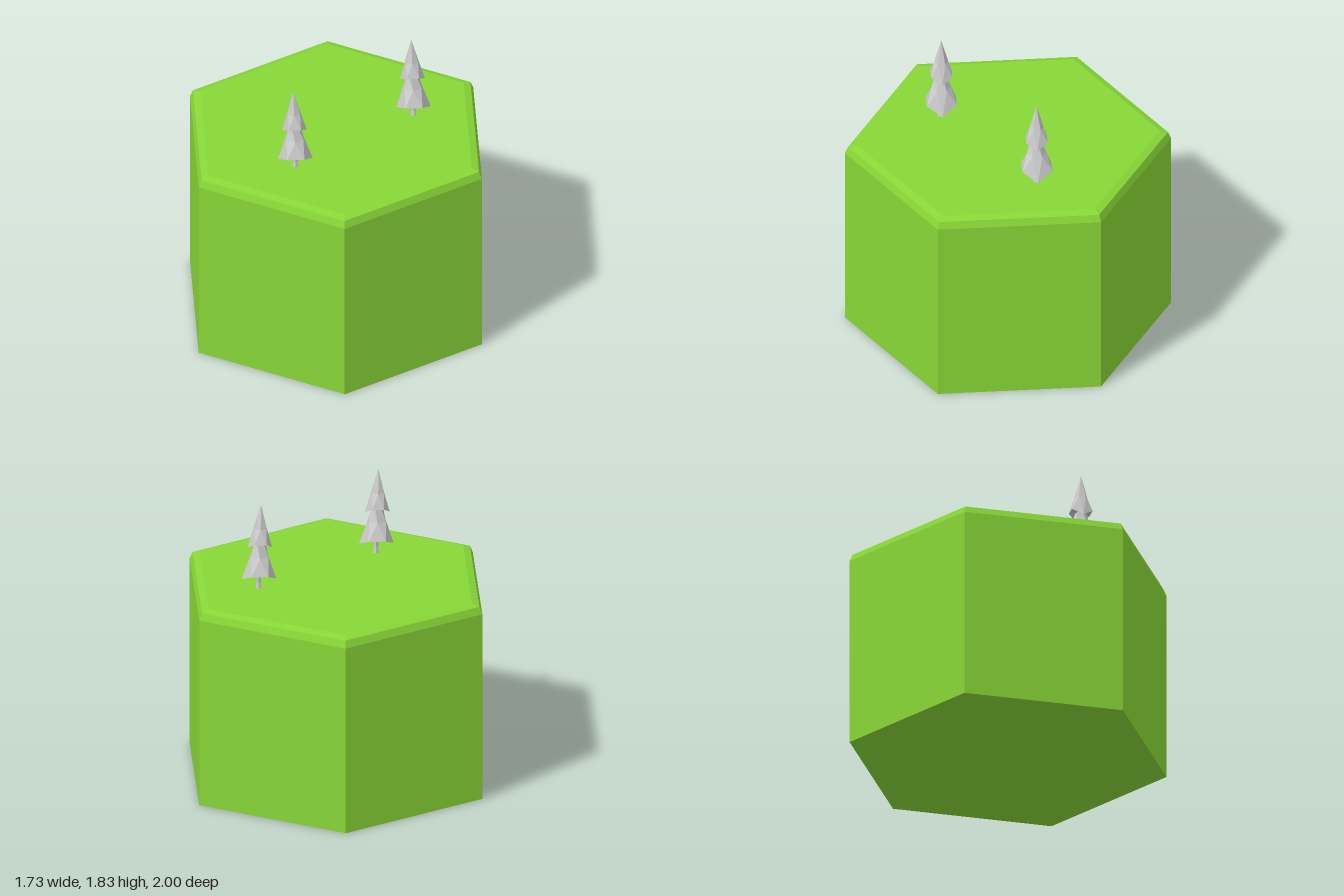
import * as THREE from 'three';

const green = new THREE.MeshStandardMaterial({ color: 0x88d636, flatShading: true });
const grey = new THREE.MeshStandardMaterial({ color: 0xcccccc, flatShading: true });

function part(name, geometry, material) {
  const mesh = new THREE.Mesh(geometry, material);
  mesh.name = name;
  return mesh;
}

// Six-sided lathe from [radius, y] pairs
function hexLathe(profile, start = 0) {
  return new THREE.LatheGeometry(profile.map(([r, y]) => new THREE.Vector2(r, y)), 6, start);
}

// Faceted foliage tier: hem ring droops towards +x and -x, one ring is twisted half a step
function foliageTier(profile, hem, twisted, droop) {
  const geometry = hexLathe(profile, Math.PI / 2);
  const pos = geometry.attributes.position;
  const v = new THREE.Vector3();
  const up = new THREE.Vector3(0, 1, 0);
  for (let i = 0; i < pos.count; i++) {
    const ring = i % profile.length;
    v.fromBufferAttribute(pos, i);
    if (ring === hem) {
      const c = Math.abs(v.x) / Math.hypot(v.x, v.z);
      v.y -= droop * Math.max(0, c - 0.5) * 2;
    }
    if (ring === twisted) v.applyAxisAngle(up, Math.PI / 6);
    v.x -= 0.027 * v.y; // slight lean
    pos.setXYZ(i, v.x, v.y, v.z);
  }
  return geometry;
}

function makeTree() {
  const tree = new THREE.Group();
  tree.name = 'tree';
  const trunk = hexLathe([[0.023, -0.01], [0.015, 0.04], [0.018, 0.14]]);
  const lower = foliageTier([[0, 0.1], [0.045, 0.1], [0.106, 0.105], [0.06, 0.21], [0.03, 0.32], [0, 0.33]], 2, 3, 0.048);
  const upper = foliageTier([[0, 0.3], [0.03, 0.3], [0.076, 0.305], [0.043, 0.395], [0, 0.55]], 2, 3, 0.04);
  tree.add(part('trunk', trunk, grey), part('lowerFoliage', lower, grey), part('upperFoliage', upper, grey));
  return tree;
}

export function createModel() {
  const model = new THREE.Group();
  model.name = 'hexTileWithTrees';

  // Hexagonal block with a two-step bevelled rim
  const block = hexLathe([[0, 0], [1, 0], [1, 1.22], [0.98, 1.265], [0.93, 1.28], [0, 1.28]]);
  model.add(part('grassBlock', block, green));

  for (const [x, z] of [[-0.268, 0.387], [0.482, -0.137]]) {
    const tree = makeTree();
    tree.position.set(x, 1.28, z);
    model.add(tree);
  }
  return model;
}
